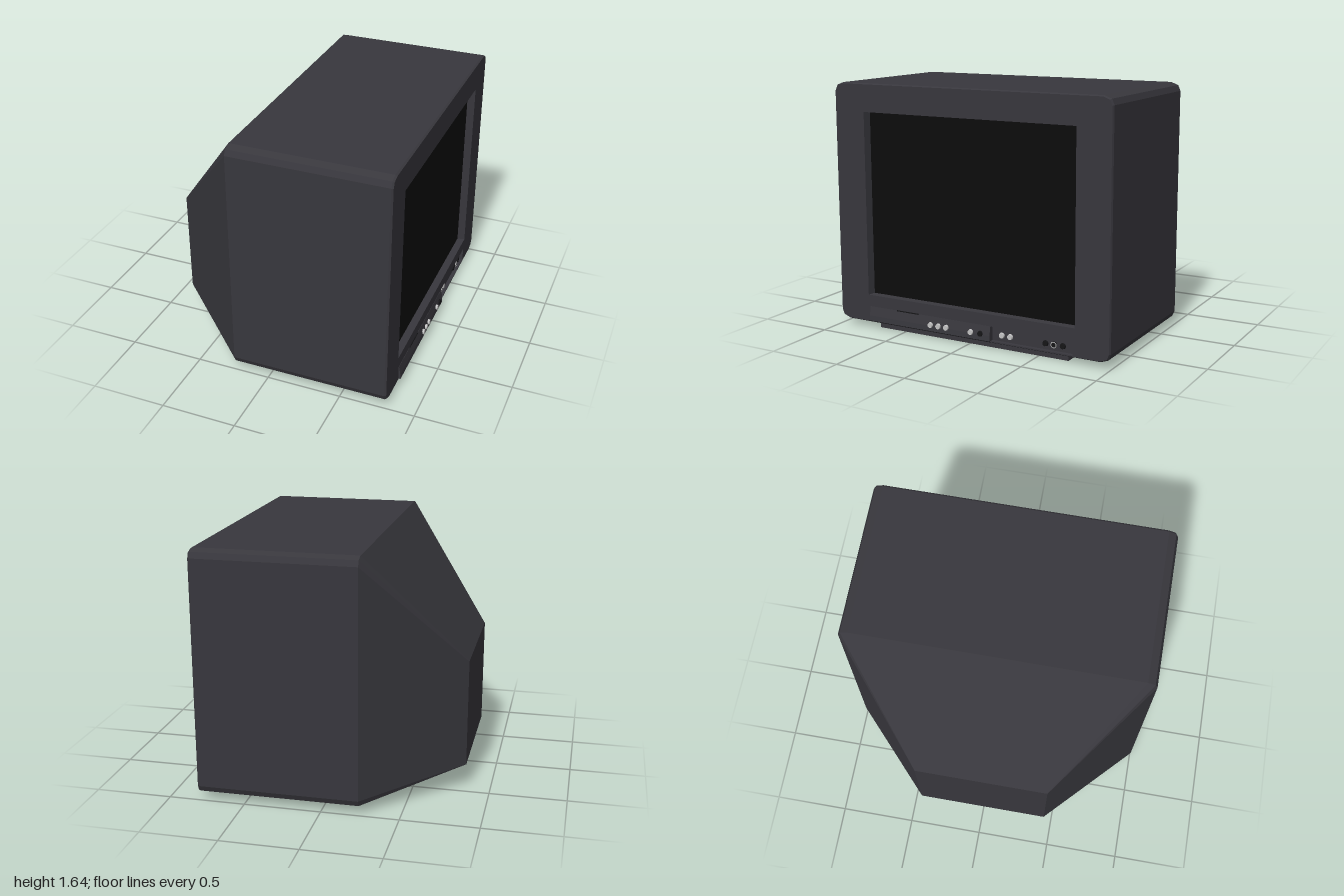
import * as THREE from 'three';

const mat = (name, color) => {
  const m = new THREE.MeshStandardMaterial({ color });
  m.name = name;
  return m;
};

// Cross-section loop, counter-clockwise from the front, with two-facet corners
function ring(w, y0, y1, z, r) {
  const pts = [];
  const corner = (sx, sy) => {
    const x = sx * w, y = sy > 0 ? y1 : y0;
    const c = [[x, y - sy * r * 0.85], [x - sx * r * 0.25, y - sy * r * 0.28], [x - sx * r, y]];
    return sx * sy > 0 ? c : c.reverse();
  };
  for (const [sx, sy] of [[1, 1], [-1, 1], [-1, -1], [1, -1]])
    for (const [x, y] of corner(sx, sy)) pts.push(new THREE.Vector3(x, y, z));
  return pts;
}

const rect = (x0, x1, y0, y1, z) =>
  [[x1, y0], [x1, y1], [x0, y1], [x0, y0]].map(([x, y]) => new THREE.Vector3(x, y, z));

// Skin successive loops; optionally cap the first or the last one
function loft(rings, capStart = false, capEnd = false) {
  const v = [];
  for (let k = 0; k + 1 < rings.length; k++) {
    const a = rings[k], b = rings[k + 1], n = a.length;
    for (let i = 0; i < n; i++) {
      const j = (i + 1) % n;
      v.push(a[i], a[j], b[j], a[i], b[j], b[i]);
    }
  }
  const first = rings[0], last = rings[rings.length - 1];
  for (let i = 1; i + 1 < first.length; i++) {
    if (capStart) v.push(first[0], first[i + 1], first[i]);
    if (capEnd) v.push(last[0], last[i], last[i + 1]);
  }
  const g = new THREE.BufferGeometry().setFromPoints(v);
  g.computeVertexNormals();
  return g;
}

export function createModel() {
  const casing = mat('casing charcoal', 0x38373d);
  const glass = mat('screen black', 0x0c0c0c);
  const dark = mat('socket black', 0x151517);
  const silver = mat('button silver', 0xc4c4c4);

  const model = new THREE.Group();
  model.name = 'television';
  const tv = new THREE.Group();
  tv.name = 'televisionBody';
  tv.rotation.y = Math.PI / 2; // the screen faces +x
  model.add(tv);

  const add = (name, geo, material, x = 0, y = 0, z = 0) => {
    const m = new THREE.Mesh(geo, material);
    m.name = name;
    m.position.set(x, y, z);
    tv.add(m);
    return m;
  };

  // Cabinet shell with tapered back
  const frontRing = ring(0.993, 0.047, 1.631, 0.81, 0.06);
  add('cabinet', loft([
    ring(0.445, 0.165, 0.875, -0.84, 0.004),
    ring(1, 0.04, 1.638, -0.24, 0.065),
    ring(1, 0.04, 1.638, 0.798, 0.065),
    frontRing,
  ], true), casing);

  // Front bezel with openings for the screen and the socket bay
  const screenHole = rect(-0.77, 0.765, 0.228, 1.452, 0.81);
  const bayHole = rect(0.175, 0.75, 0.055, 0.15, 0.81);
  const face = new THREE.Shape(frontRing.map(p => new THREE.Vector2(p.x, p.y)));
  for (const h of [screenHole, bayHole])
    face.holes.push(new THREE.Path(h.map(p => new THREE.Vector2(p.x, p.y))));
  add('bezel', new THREE.ShapeGeometry(face), casing, 0, 0, 0.81);

  // Screen recess and glass
  const screenBack = rect(-0.757, 0.753, 0.23, 1.45, 0.76);
  add('screenSurround', loft([screenHole, screenBack]), casing);
  add('screen', new THREE.PlaneGeometry(1.51, 1.22), glass, -0.002, 0.84, 0.76);

  // Socket bay set into the bezel
  add('socketBay', loft([bayHole, rect(0.175, 0.75, 0.055, 0.15, 0.785)], false, true), casing);

  // Sloping control panel
  const profile = new THREE.Shape([[0.80, 0.055], [0.825, 0.055], [0.823, 0.09], [0.812, 0.15], [0.80, 0.15]]
    .map(([z, y]) => new THREE.Vector2(-z, y)));
  const panel = new THREE.ExtrudeGeometry(profile, { depth: 0.93, bevelEnabled: false });
  panel.rotateY(Math.PI / 2);
  add('controlPanel', panel, casing, -0.755, 0, 0);
  add('panelSlot', new THREE.BoxGeometry(0.17, 0.006, 0.006), dark, -0.455, 0.15, 0.812);
  add('panelLowerSeam', new THREE.BoxGeometry(0.93, 0.005, 0.006), dark, -0.29, 0.054, 0.82);

  // Round buttons and sockets
  const knob = new THREE.CylinderGeometry(0.017, 0.02, 0.016, 12).rotateX(Math.PI / 2);
  for (const x of [-0.27, -0.21, -0.15, 0.035]) add('button', knob, silver, x, 0.095, 0.825);
  add('headphoneSocket', knob, dark, 0.105, 0.095, 0.822);
  for (const x of [0.245, 0.305]) add('bayButton', knob, silver, x, 0.095, 0.79);
  for (const x of [0.555, 0.615, 0.675]) add('baySocket', knob, dark, x, 0.095, 0.79);
  add('socketRing', new THREE.TorusGeometry(0.018, 0.003, 6, 16), silver, 0.615, 0.095, 0.797);

  // Plinth under the cabinet
  add('base', new THREE.BoxGeometry(1.41, 0.05, 0.97), casing, 0, 0.025, 0.285);

  return model;
}
